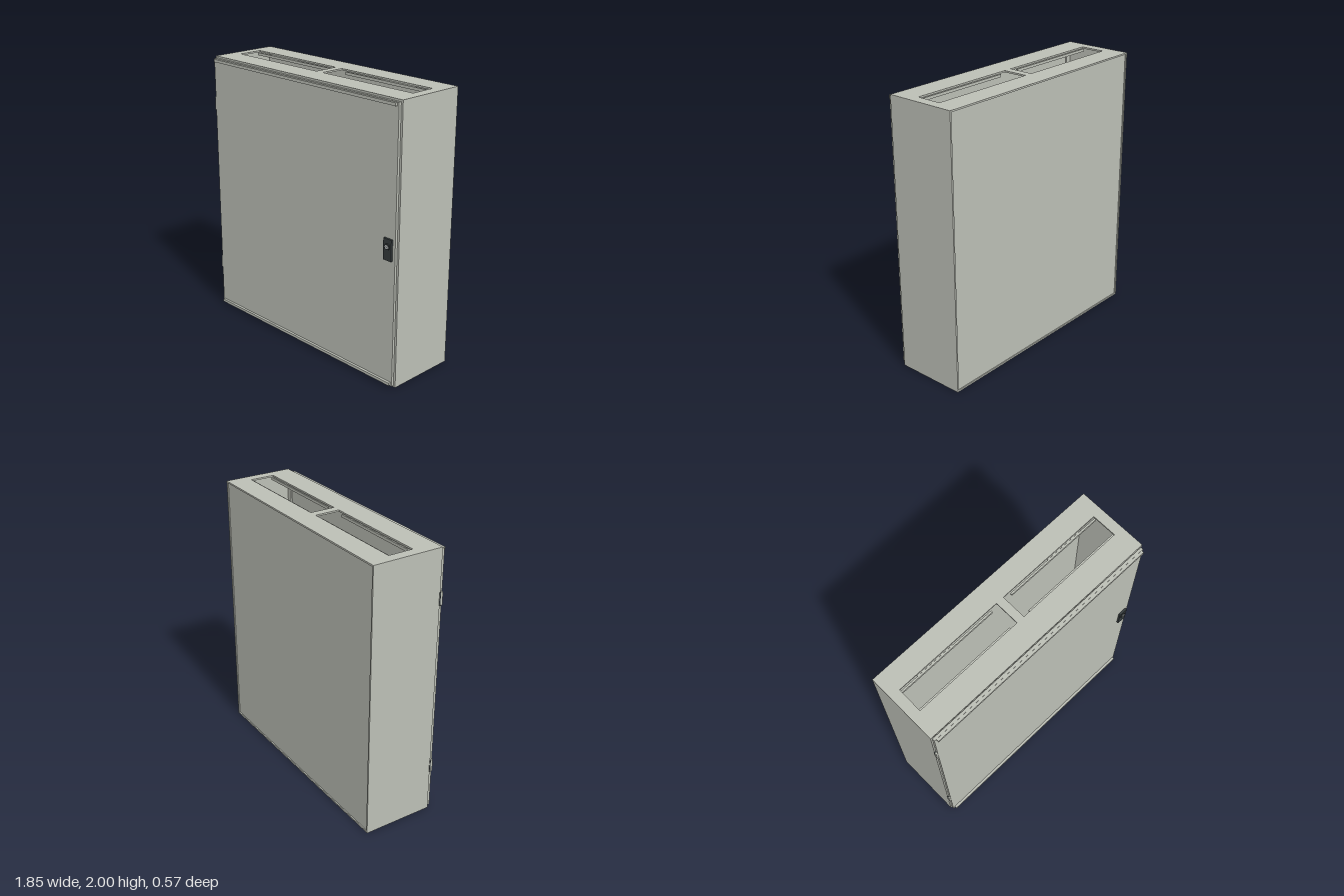
import * as THREE from 'three';

export function createModel() {
  const cabinet = new THREE.Group();
  cabinet.name = 'cabinet';

  const paint = new THREE.MeshStandardMaterial({ color: 0xbcbfb6 });
  paint.name = 'light grey paint';
  const black = new THREE.MeshStandardMaterial({ color: 0x353b3d });
  black.name = 'black plastic';
  const metal = new THREE.MeshStandardMaterial({ color: 0xb4b8b8 });
  metal.name = 'lock metal';

  function add(name, geometry, material = paint, parent = cabinet) {
    const mesh = new THREE.Mesh(geometry, material);
    mesh.name = name;
    parent.add(mesh);
    return mesh;
  }

  // Box given by its minimum and maximum on each axis
  function box(name, x0, x1, y0, y1, z0, z1, material, parent) {
    const mesh = add(name, new THREE.BoxGeometry(x1 - x0, y1 - y0, z1 - z0), material, parent);
    mesh.position.set((x0 + x1) / 2, (y0 + y1) / 2, (z0 + z1) / 2);
    return mesh;
  }

  function rectangle(path, x0, x1, y0, y1) {
    path.moveTo(x0, y0);
    path.lineTo(x1, y0);
    path.lineTo(x1, y1);
    path.lineTo(x0, y1);
    path.closePath();
    return path;
  }

  const W = 0.925, BACK = -0.285, FRONT = 0.24, T = 0.012;

  // Side walls
  box('leftWall', W - T, W, 0, 2, BACK, FRONT);
  box('rightWall', -W, -W + T, 0, 2, BACK, FRONT);

  // Roof and floor with two cable openings each
  const plate = rectangle(new THREE.Shape(), -W + T, W - T, -FRONT, -BACK);
  for (const [x0, x1] of [[-0.85, -0.03], [0.03, 0.85]]) {
    plate.holes.push(rectangle(new THREE.Path(), x0, x1, -0.065, 0.12));
  }
  const plateGeometry = new THREE.ExtrudeGeometry(plate, { depth: T, bevelEnabled: false });
  plateGeometry.rotateX(-Math.PI / 2);
  add('floor', plateGeometry);
  add('roof', plateGeometry).position.y = 2 - T;

  // Recessed back panel inside the folded edges
  box('backPanel', -W + T, W - T, T, 2 - T, BACK + 0.008, BACK + 0.02);

  // Gland rails and clips behind the openings
  for (const [level, y0, y1] of [['upper', 1.968, 1.988], ['lower', 0.012, 0.032]]) {
    for (const side of [-1, 1]) {
      const x0 = side < 0 ? -0.85 : 0.085;
      const c0 = side < 0 ? -0.71 : 0.42;
      box(level + 'BackRail', x0, x0 + 0.765, y0, y1, -0.112, -0.099);
      box(level + 'FrontRail', x0, x0 + 0.765, y0, y1, 0.051, 0.062);
      box(level + 'Clip', c0, c0 + 0.29, y0, y1, -0.122, -0.113);
    }
  }

  // Door frame return, seen in the narrow gap round the door
  const frame = rectangle(new THREE.Shape(), -W + T, W - T, T, 2 - T);
  frame.holes.push(rectangle(new THREE.Path(), -0.87, 0.87, 0.055, 1.945));
  const frameMesh = add('doorFrame', new THREE.ExtrudeGeometry(frame, { depth: 0.01, bevelEnabled: false }));
  frameMesh.position.z = FRONT - 0.012;

  // Door with its top and bottom stiffening strips
  const door = new THREE.Group();
  door.name = 'door';
  cabinet.add(door);
  box('doorPanel', -0.916, 0.912, 0.013, 1.987, 0.243, 0.262, paint, door);
  box('topStrip', -0.9, 0.9, 1.963, 1.984, 0.262, 0.28, paint, door);
  box('bottomStrip', -0.9, 0.9, 0.02, 0.041, 0.262, 0.28, paint, door);

  // Hinges on the right edge
  for (const y of [0.36, 1.645]) {
    box('hingeLeaf', -0.928, -0.91, y - 0.048, y + 0.048, 0.236, 0.26);
    const pin = add('hingePin', new THREE.CylinderGeometry(0.007, 0.007, 0.096, 12), black);
    pin.position.set(-0.922, y, 0.241);
  }

  // Lock: black plate, raised boss and metal key insert
  const lock = new THREE.Group();
  lock.name = 'lock';
  door.add(lock);
  box('lockPlate', 0.82, 0.89, 0.928, 1.08, 0.262, 0.277, black, lock);
  const boss = add('lockBoss', new THREE.CylinderGeometry(0.021, 0.023, 0.006, 24), black, lock);
  boss.rotation.x = Math.PI / 2;
  boss.position.set(0.855, 1.026, 0.28);
  const insert = add('lockInsert', new THREE.CylinderGeometry(0.014, 0.014, 0.004, 20), metal, lock);
  insert.rotation.x = Math.PI / 2;
  insert.position.set(0.855, 1.026, 0.283);
  box('lockPointer', 0.837, 0.873, 1.022, 1.03, 0.281, 0.285, metal, lock);
  box('keySlot', 0.847, 0.863, 1.0245, 1.0275, 0.284, 0.2855, black, lock);

  return cabinet;
}
